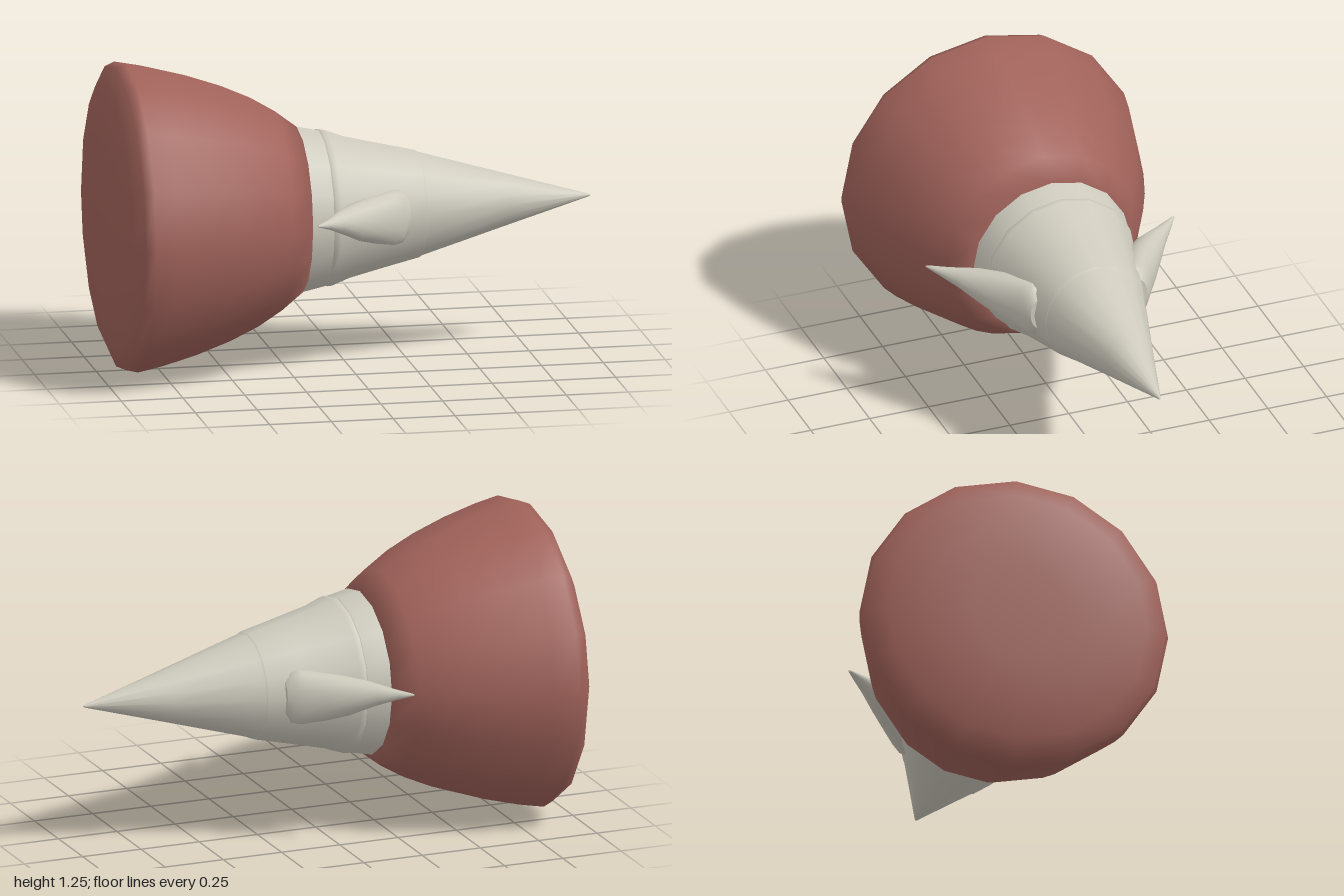
import * as THREE from 'three';

const AXIS_Y = 0.625;
const SIDES = 16;

// Turned part lying along x: profile points are [x, radius]
function turned(name, profile, material) {
  const geo = new THREE.LatheGeometry(profile.map(([x, r]) => new THREE.Vector2(r, x)), SIDES);
  geo.rotateZ(-Math.PI / 2);
  const mesh = new THREE.Mesh(geo, material);
  mesh.name = name;
  mesh.position.y = AXIS_Y;
  return mesh;
}

// Swept-back barb lofted through sections across x: [x, yLow, yHigh, zInner, zWidest, zOuter]
function barb(name, side, material) {
  const sections = [
    [-0.205, 0.676, 0.684, 0.515, 0.522, 0.53],
    [-0.15, 0.65, 0.692, 0.42, 0.465, 0.495],
    [-0.085, 0.61, 0.705, 0.30, 0.38, 0.45],
    [0, 0.56, 0.72, 0.22, 0.31, 0.395],
    [0.08, 0.532, 0.73, 0.19, 0.26, 0.345],
    [0.16, 0.514, 0.741, 0.17, 0.222, 0.292],
    [0.195, 0.522, 0.732, 0.17, 0.215, 0.272],
    [0.222, 0.565, 0.695, 0.18, 0.212, 0.248],
  ];
  const n = 16, pos = [], idx = [];
  const tri = (a, b, c) => (side > 0 ? idx.push(a, b, c) : idx.push(a, c, b));
  for (const [x, y0, y1, zi, zm, zo] of sections) {
    for (let j = 0; j < n; j++) {
      const a = (j / n) * Math.PI * 2, c = Math.cos(a);
      const z = zm + c * (c > 0 ? zo - zm : zm - zi);
      pos.push(x, (y0 + y1) / 2 + Math.sin(a) * (y1 - y0) / 2, z * side);
    }
  }
  for (let i = 0; i < sections.length - 1; i++) {
    for (let j = 0; j < n; j++) {
      const a = i * n + j, b = i * n + (j + 1) % n;
      tri(a, a + n, b);
      tri(b, a + n, b + n);
    }
  }
  // End caps on their own vertices so the rims stay crisp
  for (const s of [0, sections.length - 1]) {
    const start = pos.length / 3;
    for (let k = 0; k < n * 3; k++) pos.push(pos[s * n * 3 + k]);
    for (let j = 1; j < n - 1; j++) {
      if (s === 0) tri(start, start + j, start + j + 1);
      else tri(start, start + j + 1, start + j);
    }
  }
  const geo = new THREE.BufferGeometry();
  geo.setAttribute('position', new THREE.Float32BufferAttribute(pos, 3));
  geo.setIndex(idx);
  geo.computeVertexNormals();
  const mesh = new THREE.Mesh(geo, material);
  mesh.name = name;
  return mesh;
}

export function createModel() {
  const red = new THREE.MeshStandardMaterial({ color: 0xa0625a });
  red.name = 'dull red';
  const bone = new THREE.MeshStandardMaterial({ color: 0xcdcabd });
  bone.name = 'bone grey';

  const model = new THREE.Group();
  model.name = 'barbedSpike';

  // Bulbous base with a softly rounded back
  model.add(turned('base', [
    [-1, 0], [-1, 0.2], [-0.985, 0.38], [-0.955, 0.53], [-0.92, 0.608], [-0.88, 0.625],
    [-0.78, 0.605], [-0.64, 0.567], [-0.5, 0.518], [-0.38, 0.464], [-0.28, 0.404], [-0.19, 0.335], [-0.18, 0],
  ], red));

  // Spike: collar, shaft and tip with small steps between them
  model.add(turned('collar', [[-0.2, 0.336], [-0.1, 0.315], [-0.095, 0.305]], bone));
  model.add(turned('shaft', [
    [-0.1, 0.308], [-0.09, 0.316], [-0.07, 0.314], [0, 0.287], [0.15, 0.25], [0.29, 0.217], [0.3, 0.208],
  ], bone));
  model.add(turned('tip', [[0.295, 0.212], [0.31, 0.207], [0.65, 0.106], [0.99, 0.006], [1, 0]], bone));

  // Pair of barbs
  model.add(barb('frontBarb', 1, bone));
  model.add(barb('backBarb', -1, bone));
  return model;
}
